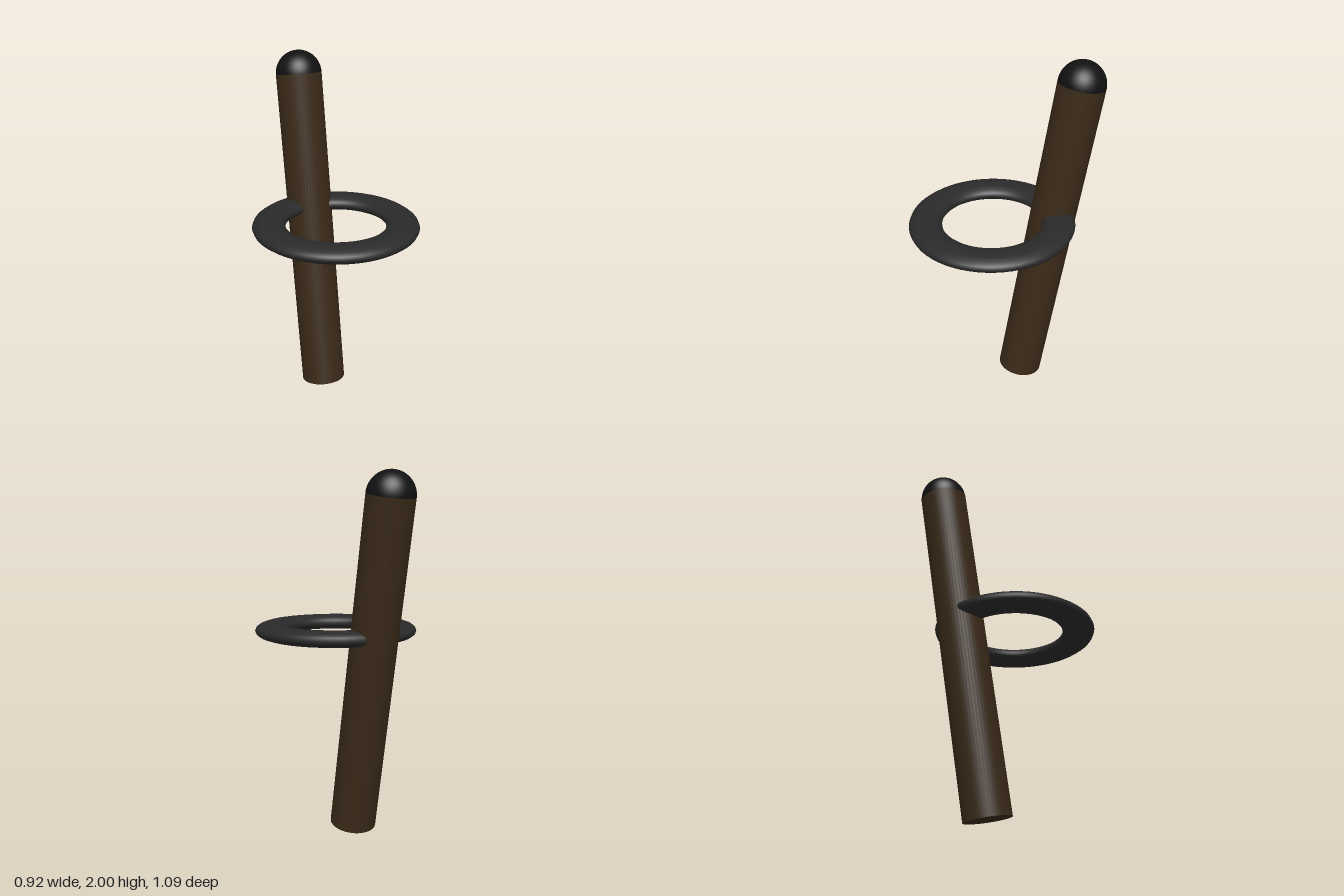
import * as THREE from 'three';

const RADIUS = 0.13, LENGTH = 1.876, TILT = THREE.MathUtils.degToRad(-10);

function part(name, geometry, color, parent) {
  const mesh = new THREE.Mesh(geometry, new THREE.MeshStandardMaterial({ color }));
  mesh.name = name;
  parent.add(mesh);
  return mesh;
}

export function createModel() {
  const model = new THREE.Group();
  model.name = 'poleWithRing';

  // Leaning pole, built upright from its foot and then tilted backwards
  const pole = new THREE.Group();
  pole.name = 'pole';
  pole.position.set(0, RADIUS * Math.sin(-TILT), -0.092);
  pole.rotation.x = TILT;
  model.add(pole);

  const shaft = new THREE.CylinderGeometry(RADIUS, RADIUS, LENGTH, 48);
  part('shaft', shaft.translate(0, LENGTH / 2, 0), 0x3a2a18, pole);

  // Rounded end cap
  const dome = new THREE.SphereGeometry(RADIUS, 48, 16, 0, Math.PI * 2, 0, Math.PI / 2);
  part('endCap', dome.translate(0, LENGTH, 0), 0x111111, pole);

  // Flattened horizontal ring that runs into the pole
  const ring = new THREE.TorusGeometry(0.37, 0.092, 16, 64);
  ring.rotateX(Math.PI / 2).scale(1, 0.49, 1);
  part('ring', ring, 0x2a2a2a, model).position.set(0, 1.13, 0.083);

  return model;
}
